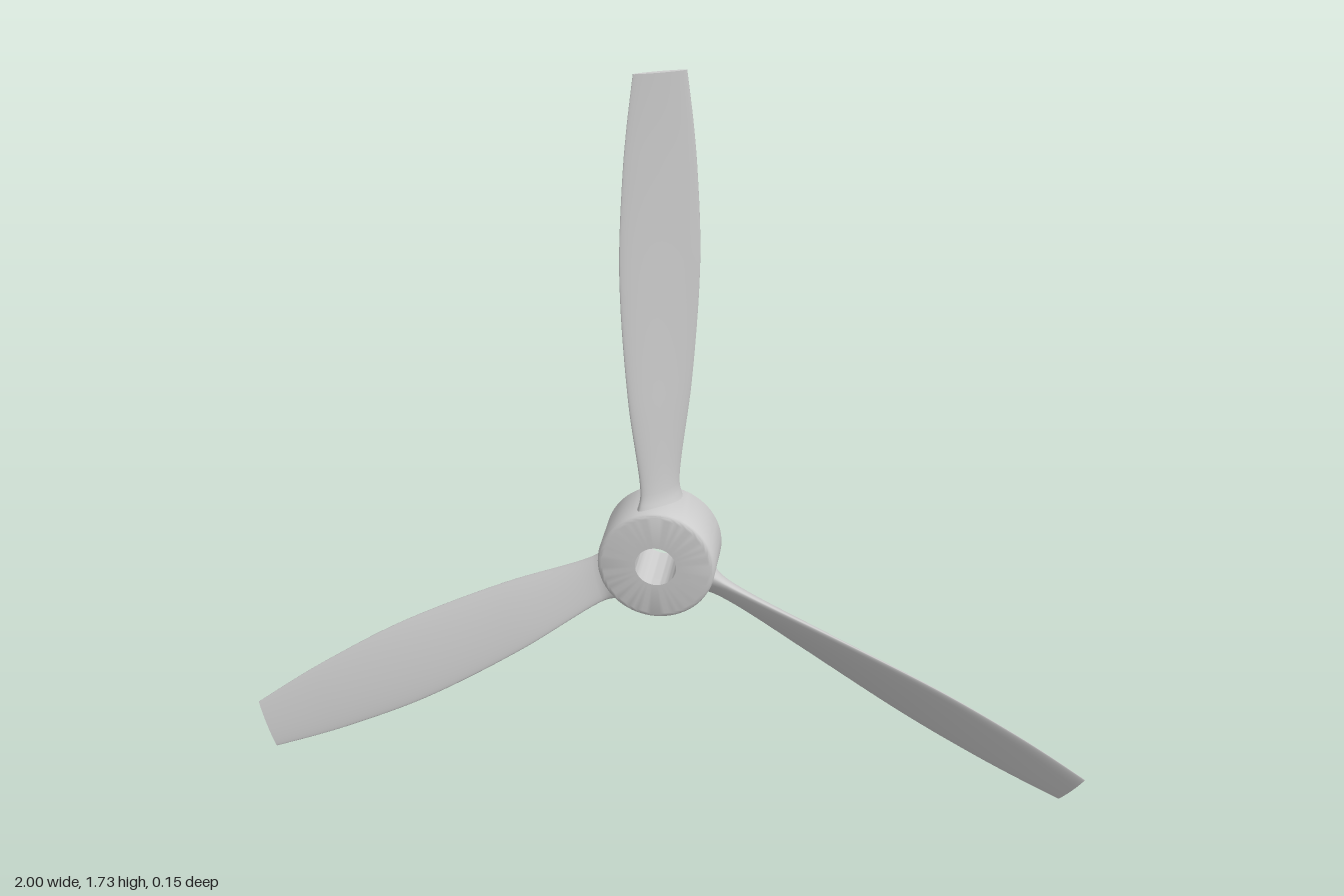
import * as THREE from 'three';
import { toCreasedNormals } from 'three/addons/utils/BufferGeometryUtils.js';

const HUB_Y = 0.608;
const material = new THREE.MeshStandardMaterial({ color: 0xcccccc, roughness: 0.6 });

// Ring hub with rounded rims and a plain bore, turned about z
function hubGeometry() {
  const R = 0.134, half = 0.075, bore = 0.047, round = 0.013;
  const pts = [new THREE.Vector2(bore, -half)];
  for (const side of [-1, 1]) {
    for (let i = 0; i <= 5; i++) {
      const a = (side < 0 ? i - 5 : i) / 5 * Math.PI / 2;
      pts.push(new THREE.Vector2(R - round + round * Math.cos(a), side * (half - round) + round * Math.sin(a)));
    }
  }
  pts.push(new THREE.Vector2(bore, half), new THREE.Vector2(bore, -half));
  return toCreasedNormals(new THREE.LatheGeometry(pts, 72).rotateX(Math.PI / 2), 0.6);
}

// Twisted blade along +y, lofted through lens-shaped sections
function bladeGeometry() {
  // x: radius, y: half chord, z: half thickness; the first three flare into the hub
  const spine = new THREE.CatmullRomCurve3([
    [0.11, 0.076, 0.04], [0.135, 0.066, 0.028], [0.165, 0.06, 0.021], [0.4, 0.086, 0.017],
    [0.69, 0.097, 0.0135], [0.9, 0.085, 0.01], [1.0, 0.075, 0.008], [1.125, 0.0585, 0.006],
  ].map((p) => new THREE.Vector3(...p)));
  const rows = 70, sides = 40, pos = [], idx = [];

  const addSection = (t) => {
    const { x: r, y: chord, z: thick } = spine.getPoint(t);
    const pitch = THREE.MathUtils.degToRad(60 - 45 * r + 12 * r * r);
    const c = Math.cos(pitch), s = Math.sin(pitch);
    for (let j = 0; j < sides; j++) {
      const a = j / sides * Math.PI * 2;
      const u = chord * Math.cos(a);
      const v = thick * Math.sign(Math.sin(a)) * Math.abs(Math.sin(a)) ** 1.2;
      pos.push(u * c + v * s, r, -u * s + v * c);
    }
  };

  for (let i = 0; i <= rows; i++) addSection(i / rows);
  for (let i = 0; i < rows; i++) {
    for (let j = 0; j < sides; j++) {
      const a = i * sides + j, b = i * sides + (j + 1) % sides;
      idx.push(a, a + sides, b, b, a + sides, b + sides);
    }
  }

  // Flat tip with its own vertices to keep the edge sharp
  const start = pos.length / 3;
  addSection(1);
  for (let j = 1; j < sides - 1; j++) idx.push(start, start + j + 1, start + j);

  const geo = new THREE.BufferGeometry();
  geo.setAttribute('position', new THREE.Float32BufferAttribute(pos, 3));
  geo.setIndex(idx);
  geo.computeVertexNormals();
  return geo;
}

export function createModel() {
  const model = new THREE.Group();
  model.name = 'propeller';

  const hub = new THREE.Mesh(hubGeometry(), material);
  hub.name = 'hub';
  hub.position.y = HUB_Y;
  model.add(hub);

  const geo = bladeGeometry();
  ['topBlade', 'rightBlade', 'leftBlade'].forEach((name, i) => {
    const blade = new THREE.Mesh(geo, material);
    blade.name = name;
    blade.position.y = HUB_Y;
    blade.rotation.z = i * Math.PI * 2 / 3;
    model.add(blade);
  });
  return model;
}
